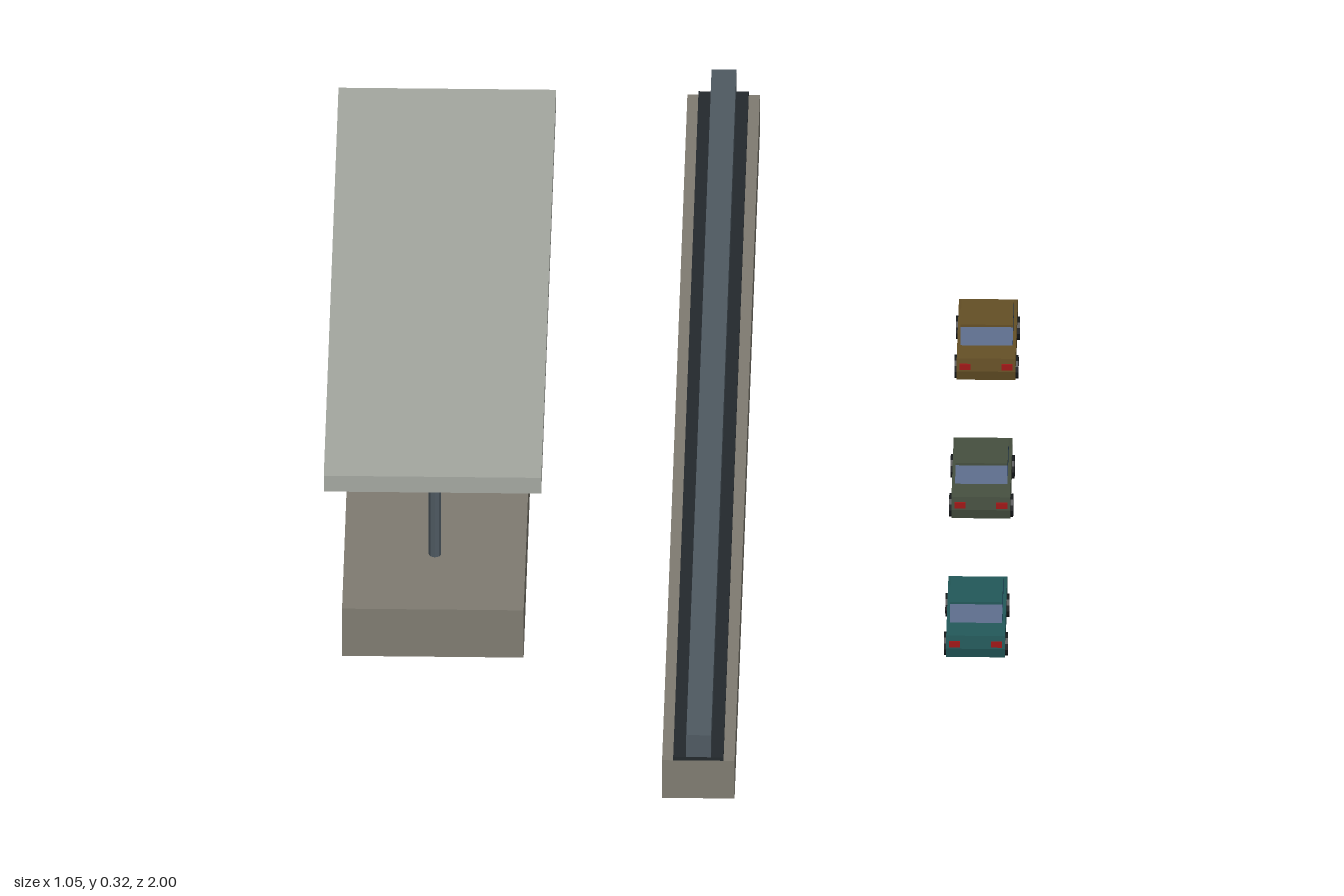
import * as THREE from 'three';

const mat = (color) => new THREE.MeshStandardMaterial({ color, flatShading: true });
const concrete = mat(0x807c72), canopyMat = mat(0xa5a8a1), steel = mat(0x4f5a62), dark = mat(0x24292d);
const glass = mat(0x21426e), tyre = mat(0x15181a), red = mat(0xa01818), white = mat(0xd8d8c8);

function add(parent, name, geometry, material, x = 0, y = 0, z = 0) {
  const mesh = new THREE.Mesh(geometry, material);
  mesh.name = name;
  mesh.position.set(x, y, z);
  parent.add(mesh);
  return mesh;
}

// Box given by its extents on each axis
function block(parent, name, material, x0, x1, y0, y1, z0, z1) {
  return add(parent, name, new THREE.BoxGeometry(x1 - x0, y1 - y0, z1 - z0), material,
    (x0 + x1) / 2, (y0 + y1) / 2, (z0 + z1) / 2);
}

// Side profile of [z, y] points, extruded across x
function sideProfile(points, width) {
  const shape = new THREE.Shape(points.map(([z, y]) => new THREE.Vector2(z, y)));
  const g = new THREE.ExtrudeGeometry(shape, { depth: width, bevelEnabled: false });
  g.translate(0, 0, -width / 2);
  g.rotateY(-Math.PI / 2);
  return g;
}

// Small saloon car, nose towards -z
function car(color) {
  const g = new THREE.Group();
  g.name = 'car';
  const paint = mat(color);
  add(g, 'carBody', sideProfile([[-0.09, 0.013], [0.09, 0.013], [0.094, 0.03], [0.092, 0.052],
    [0.055, 0.054], [-0.052, 0.054], [-0.09, 0.05], [-0.094, 0.03]], 0.09), paint);
  add(g, 'cabin', sideProfile([[-0.053, 0.054], [0.056, 0.054], [0.04, 0.079], [-0.034, 0.079]], 0.08), glass);
  block(g, 'carRoof', paint, -0.04, 0.04, 0.078, 0.082, -0.035, 0.041);

  // Wheels and lamps, mirrored
  const wheelGeo = new THREE.CylinderGeometry(0.018, 0.018, 0.014, 12).rotateZ(Math.PI / 2);
  for (const s of [-1, 1]) {
    for (const z of [-0.058, 0.058]) add(g, 'wheel', wheelGeo, tyre, s * 0.042, 0.018, z);
    add(g, 'tailLight', new THREE.BoxGeometry(0.017, 0.01, 0.004), red, s * 0.032, 0.038, 0.093);
    add(g, 'headlight', new THREE.BoxGeometry(0.017, 0.01, 0.004), white, s * 0.032, 0.038, -0.093);
  }
  return g;
}

export function createModel() {
  const model = new THREE.Group();
  model.name = 'station';

  // Platform with its canopy
  block(model, 'platform', concrete, -0.498, -0.22, 0, 0.084, -0.583, 0.583);
  block(model, 'canopy', canopyMat, -0.526, -0.193, 0.292, 0.32, -0.583, 0.583);
  for (const z of [-0.417, 0.417]) {
    add(model, 'column', new THREE.CylinderGeometry(0.0095, 0.0095, 0.21, 8), steel, -0.359, 0.188, z);
  }

  // Guideway beam with running rail
  block(model, 'guidewayBase', concrete, 0, 0.111, 0, 0.067, -1, 1);
  block(model, 'railBed', dark, 0.017, 0.094, 0.067, 0.073, -1, 1);
  block(model, 'rail', steel, 0.037, 0.075, 0.073, 0.112, -1, 1);

  // Row of parked cars
  [[0x23595a, 0.5], [0x465040, 0.083], [0x655026, -0.333]].forEach(([color, z]) => {
    const c = car(color);
    c.position.set(0.472, 0, z);
    model.add(c);
  });
  return model;
}
